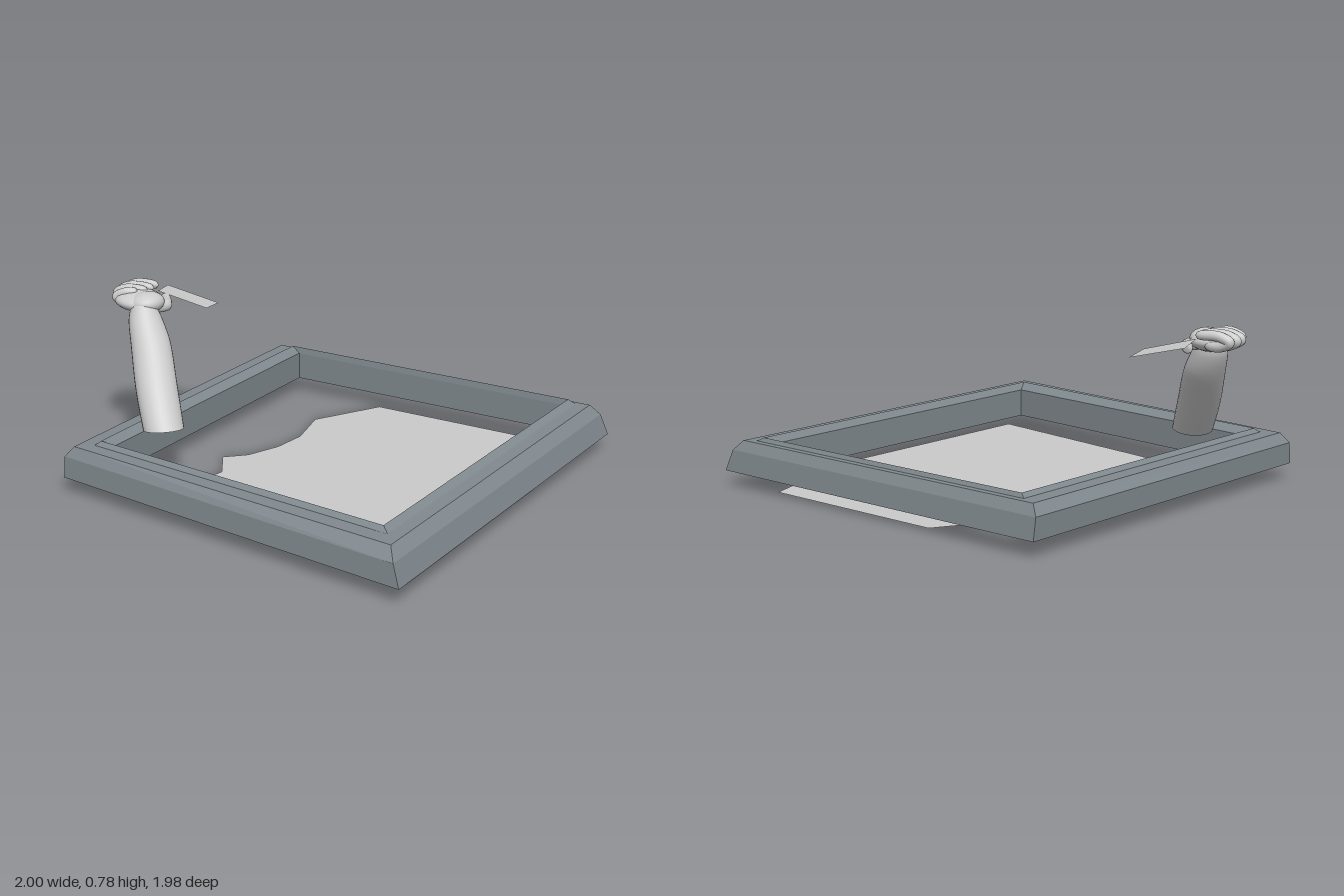
import * as THREE from 'three';

const V = (x, y, z) => new THREE.Vector3(x, y, z);

// Skin between rings of points; every ring runs counterclockwise about the travel direction.
function skin(rings, closed = false) {
  const n = rings[0].length, pos = [], index = [];
  rings.forEach(r => r.forEach(p => pos.push(p.x, p.y, p.z)));
  const steps = closed ? rings.length : rings.length - 1;
  for (let i = 0; i < steps; i++) for (let j = 0; j < n; j++) {
    const k = (j + 1) % n, m = (i + 1) % rings.length;
    const a = i * n + j, b = i * n + k, c = m * n + j, d = m * n + k;
    index.push(a, b, c, b, d, c);
  }
  const g = new THREE.BufferGeometry();
  g.setAttribute('position', new THREE.Float32BufferAttribute(pos, 3));
  g.setIndex(index);
  g.computeVertexNormals();
  return g;
}

// Tapered limb along a curve; a fixed axis keeps all rings parallel.
function limb(points, radius, steps, sides, axis) {
  const curve = new THREE.CatmullRomCurve3(points.map(p => V(...p)));
  const rings = [];
  for (let i = 0; i <= steps; i++) {
    const t = i / steps, c = curve.getPoint(t), dir = axis || curve.getTangent(t);
    const u = V(0, 0, 1).cross(dir).normalize(), v = dir.clone().cross(u).normalize();
    rings.push(Array.from({ length: sides }, (_, j) => {
      const a = j / sides * Math.PI * 2, r = radius(t);
      return c.clone().addScaledVector(u, Math.cos(a) * r).addScaledVector(v, Math.sin(a) * r);
    }));
  }
  return skin(rings);
}

export function createModel() {
  const model = new THREE.Group();
  const frameMat = new THREE.MeshStandardMaterial({ color: 0x80898e });
  frameMat.name = 'slate grey';
  frameMat.flatShading = true;
  const paleMat = new THREE.MeshStandardMaterial({ color: 0xcccccc });
  paleMat.name = 'pale grey';
  const sheetMat = new THREE.MeshStandardMaterial({ color: 0xcacaca, side: THREE.DoubleSide });
  sheetMat.name = 'sheet grey';

  const add = (parent, name, geometry, material) => {
    const mesh = new THREE.Mesh(geometry, material);
    mesh.name = name;
    parent.add(mesh);
    return mesh;
  };

  // Skewed picture frame: y, left x, right x, back z, front z at left, front z at right
  const profile = [
    [0.07, -0.805, 1.0, -0.99, 0.76, 0.985],
    [0.165, -0.805, 0.965, -0.975, 0.75, 0.97],
    [0.21, -0.77, 0.92, -0.95, 0.725, 0.91],
    [0.212, -0.70, 0.86, -0.925, 0.67, 0.83],
    [0.23, -0.68, 0.825, -0.915, 0.65, 0.80],
    [0.2, -0.64, 0.80, -0.91, 0.61, 0.75],
    [0.07, -0.64, 0.80, -0.91, 0.61, 0.75],
  ];
  const frameRings = profile.map(([y, l, r, b, fl, fr]) => [V(l, y, b), V(l, y, fl), V(r, y, fr), V(r, y, b)]);
  const frameGeo = skin(frameRings, true).toNonIndexed();
  frameGeo.computeVertexNormals();
  add(model, 'frame', frameGeo, frameMat);

  // Broken pane lying under the frame (x, z outline)
  const outline = [
    [-0.18, -0.92], [-0.355, -0.6], [-0.295, -0.37], [-0.31, -0.2], [-0.37, -0.04], [-0.455, 0.045],
    [-0.355, 0.2], [-0.39, 0.37], [-0.455, 0.49], [-0.435, 0.58], [-0.01, 0.67], [0.93, 0.8],
    [0.93, -0.36], [0.735, -0.92],
  ];
  const paneShape = new THREE.Shape(outline.map(([x, z]) => new THREE.Vector2(x, -z)));
  add(model, 'brokenPane', new THREE.ShapeGeometry(paneShape).rotateX(-Math.PI / 2), sheetMat);

  // Forearm, cut almost level at the base
  const arm = new THREE.Group();
  arm.name = 'arm';
  model.add(arm);
  const axis = V(-0.14, 0.98, -0.12).normalize();
  const armPath = [[-0.51, 0.245, 0.42], [-0.61, 0.40, 0.33], [-0.71, 0.56, 0.23], [-0.765, 0.65, 0.19], [-0.79, 0.71, 0.17]];
  add(arm, 'forearm', limb(armPath, t => 0.09 + 0.008 * Math.sin(t * Math.PI) - 0.036 * t * t, 24, 28, axis), paleMat);
  const cap = add(arm, 'armCutEnd', new THREE.CircleGeometry(0.09, 28), paleMat);
  cap.position.set(...armPath[0]);
  cap.quaternion.setFromUnitVectors(V(0, 0, 1), axis.clone().negate());

  // Palm and heel of the hand
  const hand = new THREE.Group();
  hand.name = 'hand';
  arm.add(hand);
  const blob = (name, c, s, tilt) => {
    const m = add(hand, name, new THREE.SphereGeometry(1, 28, 18), paleMat);
    m.position.set(...c);
    m.scale.set(...s);
    m.rotation.z = tilt;
  };
  blob('palm', [-0.845, 0.712, 0.125], [0.115, 0.045, 0.108], -0.06);
  blob('palmHeel', [-0.795, 0.71, 0.14], [0.082, 0.05, 0.085], 0.1);

  // Fingers curl out to the side and back over the palm
  const rounded = r => t => r * Math.sqrt(Math.max(0.0004, 1 - Math.pow(Math.abs(2 * t - 1), 14)));
  const fingers = [[0.03, -0.005, -0.83, -0.977], [0.078, 0.045, -0.82, -0.978], [0.128, 0.092, -0.82, -0.965], [0.18, 0.135, -0.845, -0.93]];
  fingers.forEach(([z, tipZ, tipX, outX], i) => {
    const path = [[-0.85, 0.705, z + 0.01], [outX + 0.05, 0.705, z], [outX, 0.728, z], [outX + 0.04, 0.75, (z * 2 + tipZ) / 3], [tipX, 0.75, tipZ]];
    add(hand, 'finger' + (i + 1), limb(path, rounded(0.022), 40, 14), paleMat);
  });
  const thumbPath = [[-0.76, 0.69, 0.14], [-0.735, 0.69, 0.075], [-0.765, 0.69, 0.025], [-0.8, 0.695, -0.015]];
  add(hand, 'thumb', limb(thumbPath, rounded(0.026), 36, 14, V(-0.2, 0.05, -0.97).normalize()), paleMat);

  // Card held between thumb and fingers
  const corners = [[-0.87, 0.715, -0.13], [-0.82, 0.73, 0.015], [-0.59, 0.67, -0.04], [-0.62, 0.655, -0.18]];
  const cardGeo = new THREE.BufferGeometry();
  cardGeo.setAttribute('position', new THREE.Float32BufferAttribute(corners.flat(), 3));
  cardGeo.setIndex([0, 1, 2, 0, 2, 3]);
  cardGeo.computeVertexNormals();
  add(hand, 'card', cardGeo, sheetMat);

  return model;
}
